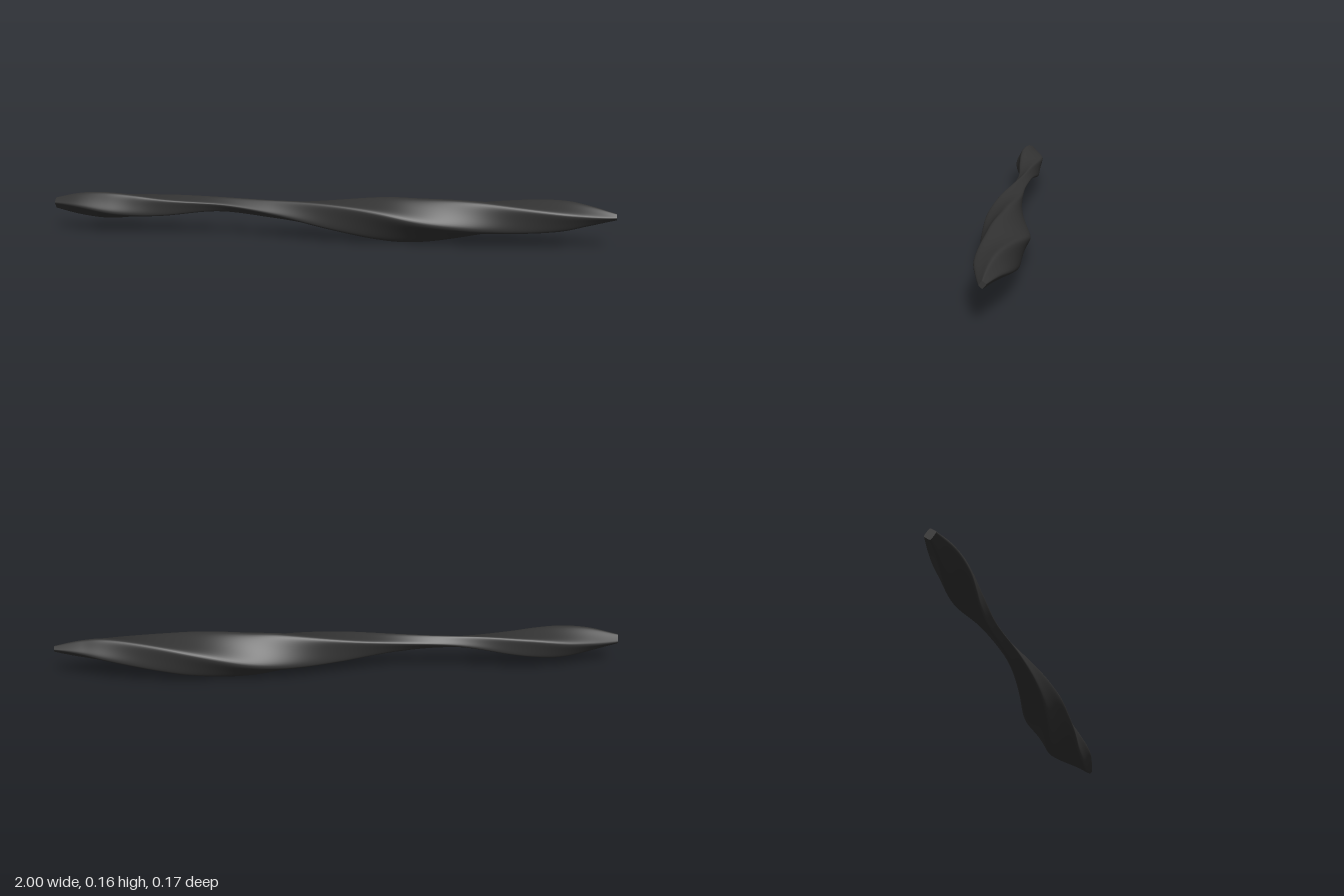
import * as THREE from 'three';

// Stations along the length: x, centre y, centre z, corner radius of the section
const STATIONS = [
  [-1, 0.1, 0.012, 0.019], [-0.9, 0.1, 0.014, 0.043], [-0.8, 0.097, 0.01, 0.056],
  [-0.7, 0.098, 0.003, 0.054], [-0.6, 0.101, -0.002, 0.045], [-0.4, 0.112, -0.003, 0.026],
  [-0.2, 0.105, 0.012, 0.033], [0, 0.093, 0.016, 0.055], [0.2, 0.083, 0.008, 0.076],
  [0.33, 0.08, 0, 0.08], [0.48, 0.089, -0.008, 0.079], [0.6, 0.098, -0.012, 0.073],
  [0.8, 0.112, -0.005, 0.057], [0.9, 0.117, -0.002, 0.037], [1, 0.117, 0.002, 0.011],
];
const RINGS = 160, SIDES = 64;
const CORNER = 0.12;           // how square the rounded section is
const LONG = 1.07, SHORT = 0.93; // slight flattening of the section
const TWIST = 142;             // degrees per unit of length

// Twisted loft of a rounded, slightly flattened square
function twistedBody() {
  const axis = new THREE.CatmullRomCurve3(
    STATIONS.map(([x, y, z]) => new THREE.Vector3(x, y, z)), false, 'catmullrom', 0.5);
  const radius = new THREE.CatmullRomCurve3(
    STATIONS.map(([x, , , r]) => new THREE.Vector3(x, r, 0)), false, 'catmullrom', 0.5);
  const pos = [], index = [];

  for (let i = 0; i <= RINGS; i++) {
    const c = axis.getPoint(i / RINGS), r = radius.getPoint(i / RINGS).y / (1 + CORNER);
    const twist = THREE.MathUtils.degToRad((c.x - 0.65) * TWIST);
    const cos = Math.cos(twist), sin = Math.sin(twist);
    for (let j = 0; j < SIDES; j++) {
      const t = (j / SIDES) * Math.PI * 2;
      const u = r * LONG * (Math.cos(t) - CORNER * Math.cos(3 * t));
      const v = r * SHORT * (Math.sin(t) + CORNER * Math.sin(3 * t));
      pos.push(c.x, c.y + u * sin + v * cos, c.z - (u * cos - v * sin));
      if (i < RINGS) {
        const a = i * SIDES + j, b = i * SIDES + ((j + 1) % SIDES);
        index.push(a, b, a + SIDES, b, b + SIDES, a + SIDES);
      }
    }
  }

  // Flat end caps with their own vertices, so the rim stays crisp
  for (const end of [0, RINGS]) {
    const c = axis.getPoint(end / RINGS), start = pos.length / 3;
    pos.push(c.x, c.y, c.z);
    pos.push(...pos.slice(end * SIDES * 3, (end + 1) * SIDES * 3));
    for (let j = 0; j < SIDES; j++) {
      const a = start + 1 + j, b = start + 1 + ((j + 1) % SIDES);
      if (end) index.push(start, a, b);
      else index.push(start, b, a);
    }
  }

  const geometry = new THREE.BufferGeometry();
  geometry.setAttribute('position', new THREE.Float32BufferAttribute(pos, 3));
  geometry.setIndex(index);
  geometry.computeVertexNormals();
  return geometry;
}

export function createModel() {
  const group = new THREE.Group();
  group.name = 'twistedStrand';
  const body = new THREE.Mesh(twistedBody(), new THREE.MeshStandardMaterial({ color: 0x333333 }));
  body.name = 'twistedBody';
  group.add(body);
  return group;
}
